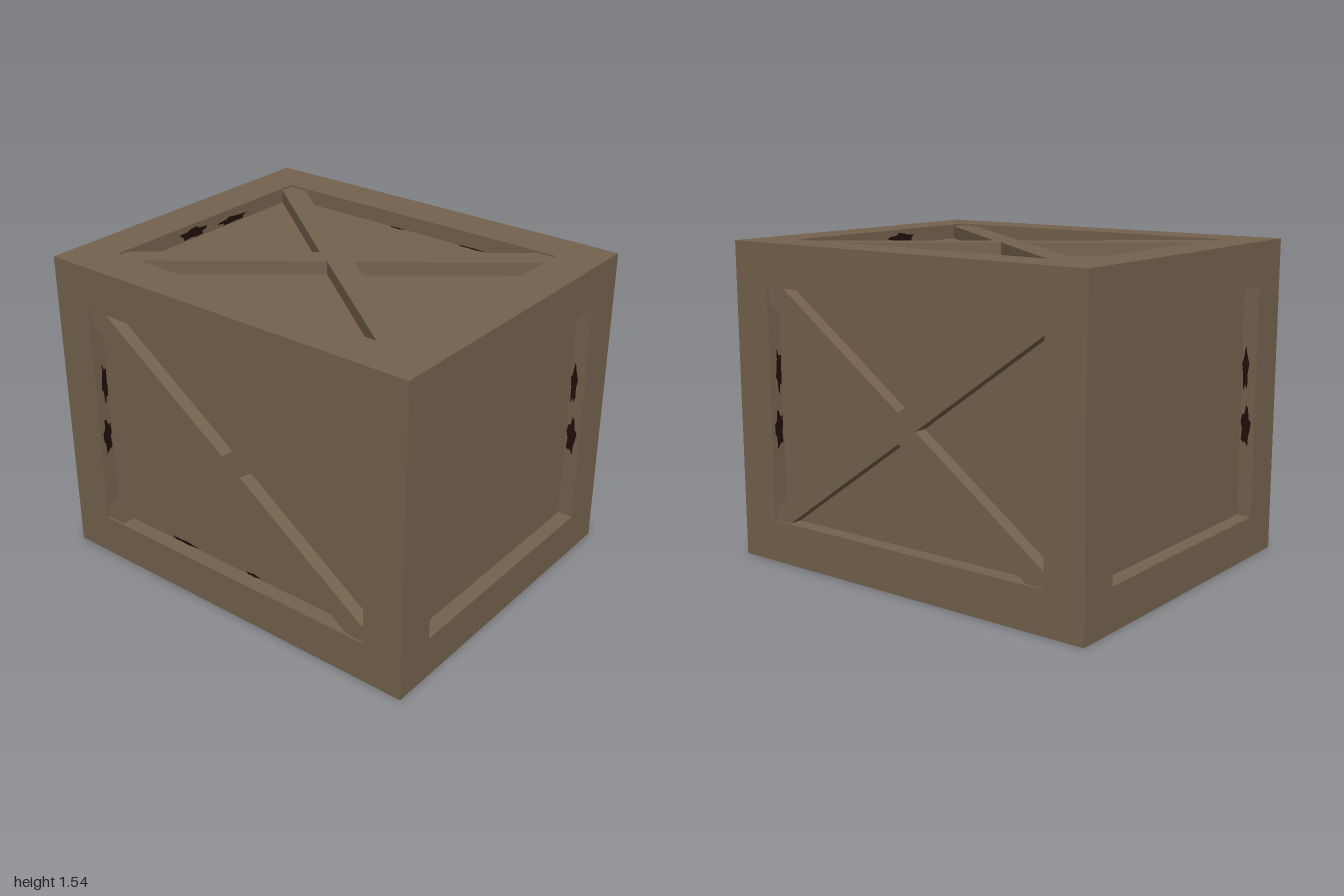
import * as THREE from 'three';

const W = 1, H = 0.77, D = 0.82;   // half sizes of the crate
const B = 0.205;                   // beam thickness
const RECESS = 0.075, BRACE = 0.065;

const wood = new THREE.MeshStandardMaterial({ color: 0x74624d });
wood.name = 'brownWood';
const stain = new THREE.MeshStandardMaterial({ color: 0x1f0f0d });
stain.name = 'darkStain';

function add(parent, name, geometry, material, x = 0, y = 0, z = 0) {
  const mesh = new THREE.Mesh(geometry, material);
  mesh.name = name;
  mesh.position.set(x, y, z);
  parent.add(mesh);
  return mesh;
}

// Cross of two boards, mitred into the corners of an opening of half size a x b
function crossBrace(a, b) {
  const nx = 0.1, ny = 0.07, ex = a - nx + 0.005, ey = b - ny;
  const quarter = [[nx, 0], [a, ey], [a, b], [ex, b]];
  const half = [...quarter, [0, ny], ...quarter.slice(1).reverse().map(([x, y]) => [-x, y])];
  const points = [...half, ...half.map(([x, y]) => [-x, -y])];
  // the half loop ends before (-nx, 0), which the mirrored half begins with
  const shape = new THREE.Shape(points.map(([x, y]) => new THREE.Vector2(x, y)));
  return new THREE.ExtrudeGeometry(shape, { depth: BRACE, bevelEnabled: false });
}

// Ragged patch lying in the xy plane
function patch(length, height, seed) {
  const points = [];
  for (let i = 0; i < 14; i++) {
    const t = i / 14 * Math.PI * 2;
    const r = 0.8 + 0.2 * Math.sin(i * 2.3 + seed);
    points.push(new THREE.Vector2(Math.cos(t) * r * length / 2, Math.sin(t) * r * height / 2));
  }
  return new THREE.ShapeGeometry(new THREE.Shape(points));
}

// Stains on the recess wall on the side (sx = -1 or 1) of an opening of half width a
function wallStains(face, a, sx, spots, depth) {
  spots.forEach(([v, length, height], i) => {
    const mesh = add(face, 'wallStain', patch(length, height, i + sx), stain,
      sx * (a - 0.002), v, depth - RECESS + height / 2);
    // patch length runs along y and its front points into the opening
    mesh.rotation.set(Math.PI / 2, -sx * Math.PI / 2, 0, 'YXZ');
    mesh.rotation.set(0, -sx * Math.PI / 2, Math.PI / 2, 'YXZ');
  });
}

export function createModel() {
  const model = new THREE.Group();
  model.name = 'crate';
  const crate = new THREE.Group();
  crate.name = 'crateBody';
  crate.position.y = H;
  model.add(crate);

  // Inner box forming the recessed panels
  add(crate, 'panels', new THREE.BoxGeometry(
    2 * (W - RECESS), 2 * (H - RECESS), 2 * (D - RECESS)), wood);

  // Twelve frame beams
  for (const s of [-1, 1]) for (const t of [-1, 1]) {
    add(crate, 'longBeam', new THREE.BoxGeometry(2 * W, B, B), wood,
      0, s * (H - B / 2), t * (D - B / 2));
    add(crate, 'post', new THREE.BoxGeometry(B, 2 * (H - B), B), wood,
      s * (W - B / 2), 0, t * (D - B / 2));
    add(crate, 'crossBeam', new THREE.BoxGeometry(B, B, 2 * (D - B)), wood,
      s * (W - B / 2), t * (H - B / 2), 0);
  }

  // Faces: name, rotation, half width, half height, depth, braced
  const faces = [
    ['front', 0, 0, W, H, D, true],
    ['back', 0, Math.PI, W, H, D, true],
    ['top', -Math.PI / 2, 0, W, D, H, true],
    ['bottom', Math.PI / 2, 0, W, D, H, true],
    ['leftSide', 0, Math.PI / 2, D, H, W, false],
    ['rightSide', 0, -Math.PI / 2, D, H, W, false],
  ];
  for (const [name, rx, ry, w, h, depth, braced] of faces) {
    const face = new THREE.Group();
    face.name = name;
    face.rotation.set(rx, ry, 0);
    crate.add(face);
    const a = w - B, b = h - B;
    if (braced) {
      add(face, 'crossBrace', crossBrace(a, b), wood, 0, 0, depth - RECESS);
    }
    // Dark wear on the recess walls
    const spots = [[0.16, 0.24, 0.04], [-0.12, 0.22, 0.06]];
    wallStains(face, a, -1, spots, depth);
    wallStains(face, a, 1, spots, depth);
    // Dark wear along the foot of the panel
    if (name === 'front' || name === 'top') {
      const s = name === 'front' ? -1 : 1;
      for (const [x, length] of [[-0.34, 0.2], [0.1, 0.1]]) {
        add(face, 'panelStain', patch(length, 0.02, 1), stain,
          x * -s, s * (b - 0.008), depth - RECESS + 0.002);
      }
    }
  }
  return model;
}
